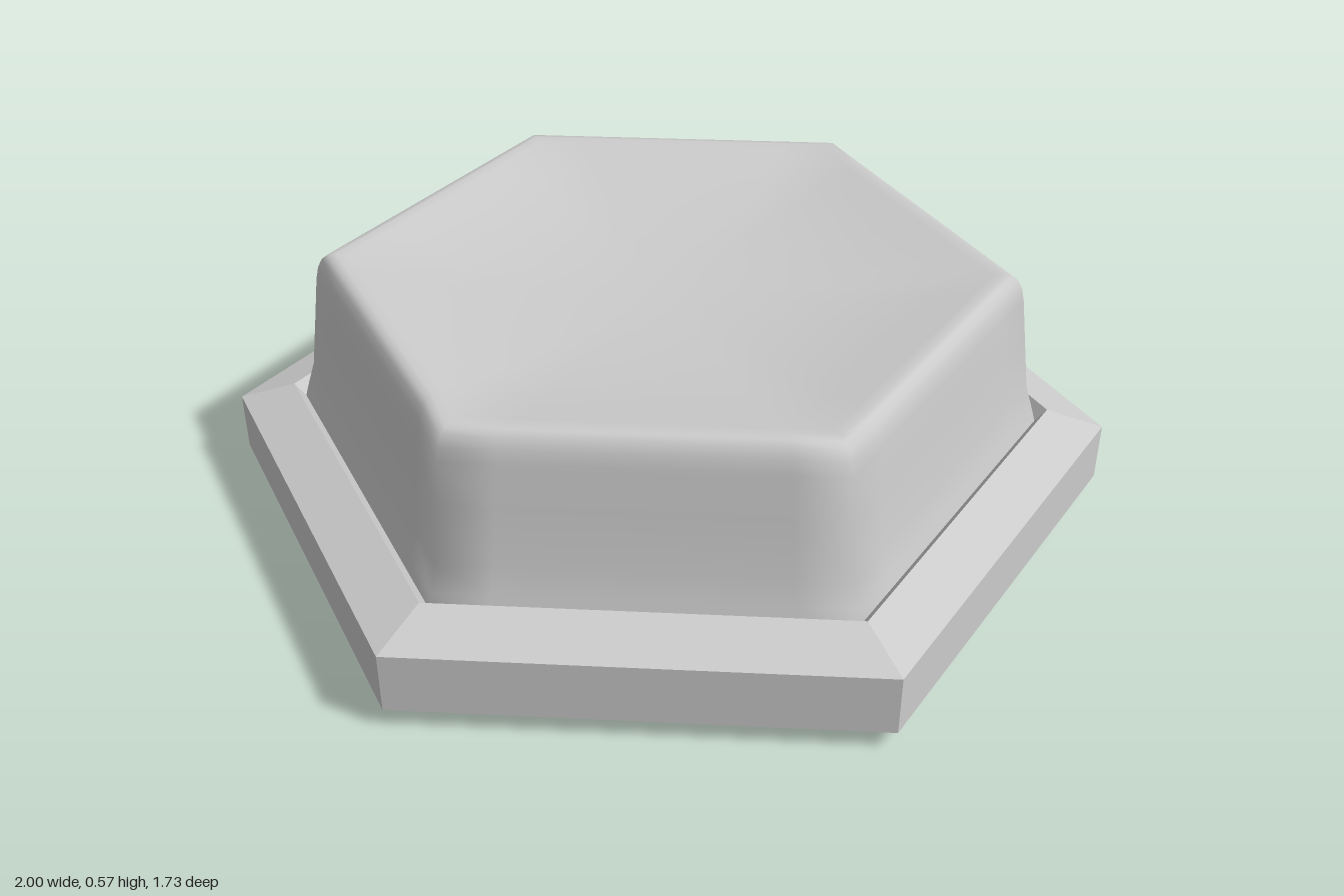
import * as THREE from 'three';
import { mergeVertices } from 'three/addons/utils/BufferGeometryUtils.js';

const toPoints = (list) => list.map(([r, y]) => new THREE.Vector2(r, y));

// Push the round sections of a lathe onto a hexagon with corners on the x axis,
// fading back to round towards the axis
function makeHexagonal(geometry, fadeRadius) {
  const p = geometry.attributes.position;
  const step = Math.PI / 3;
  for (let i = 0; i < p.count; i++) {
    const x = p.getX(i), z = p.getZ(i);
    const angle = Math.atan2(z, x) + 2 * Math.PI;
    const fromSideMiddle = (angle % step) - step / 2;
    const hexagon = Math.cos(step / 2) / Math.cos(fromSideMiddle);
    const k = THREE.MathUtils.lerp(1, hexagon, Math.min(1, Math.hypot(x, z) / fadeRadius));
    p.setX(i, x * k);
    p.setZ(i, z * k);
  }
  // one shared vertex per corner, so the shading is soft
  geometry.deleteAttribute('uv');
  geometry.deleteAttribute('normal');
  const merged = mergeVertices(geometry, 1e-4);
  merged.computeVertexNormals();
  return merged;
}

export function createModel() {
  const model = new THREE.Group();
  model.name = 'hexagonalButton';
  const add = (name, geometry, options = {}) => {
    const material = new THREE.MeshStandardMaterial({ color: 0xcccccc, ...options });
    const mesh = new THREE.Mesh(geometry, material);
    mesh.name = name;
    model.add(mesh);
    return mesh;
  };

  // Bevelled six-sided frame, its inner faces sloping to a ridge at mid height
  const frame = toPoints([
    [0.78, 0.1125], [0.87, 0], [1, 0.045], [1, 0.183], [0.87, 0.225], [0.78, 0.1125],
  ]);
  add('frame', new THREE.LatheGeometry(frame, 6, Math.PI / 2), { flatShading: true });

  // Flat underside recessed in the frame
  const underside = add('underside', new THREE.CircleGeometry(0.79, 6), { side: THREE.DoubleSide });
  underside.rotation.x = Math.PI / 2;
  underside.position.y = 0.1125;

  // Soft-edged cap, flaring at its foot, with a shallow dished top
  const cap = [
    [0.852, 0.17], [0.836, 0.225], [0.817, 0.285], [0.799, 0.41], [0.785, 0.51],
    [0.778, 0.54], [0.767, 0.561], [0.753, 0.572], [0.735, 0.574],
  ];
  const dishRadius = 0.71, dishBottom = 0.51, dishDepth = 0.061;
  for (let i = 8; i >= 0; i--) {
    const t = i / 8;
    cap.push([dishRadius * t, dishBottom + dishDepth * t * t]);
  }
  add('cap', makeHexagonal(new THREE.LatheGeometry(toPoints(cap), 48, Math.PI / 2), dishRadius));

  return model;
}
